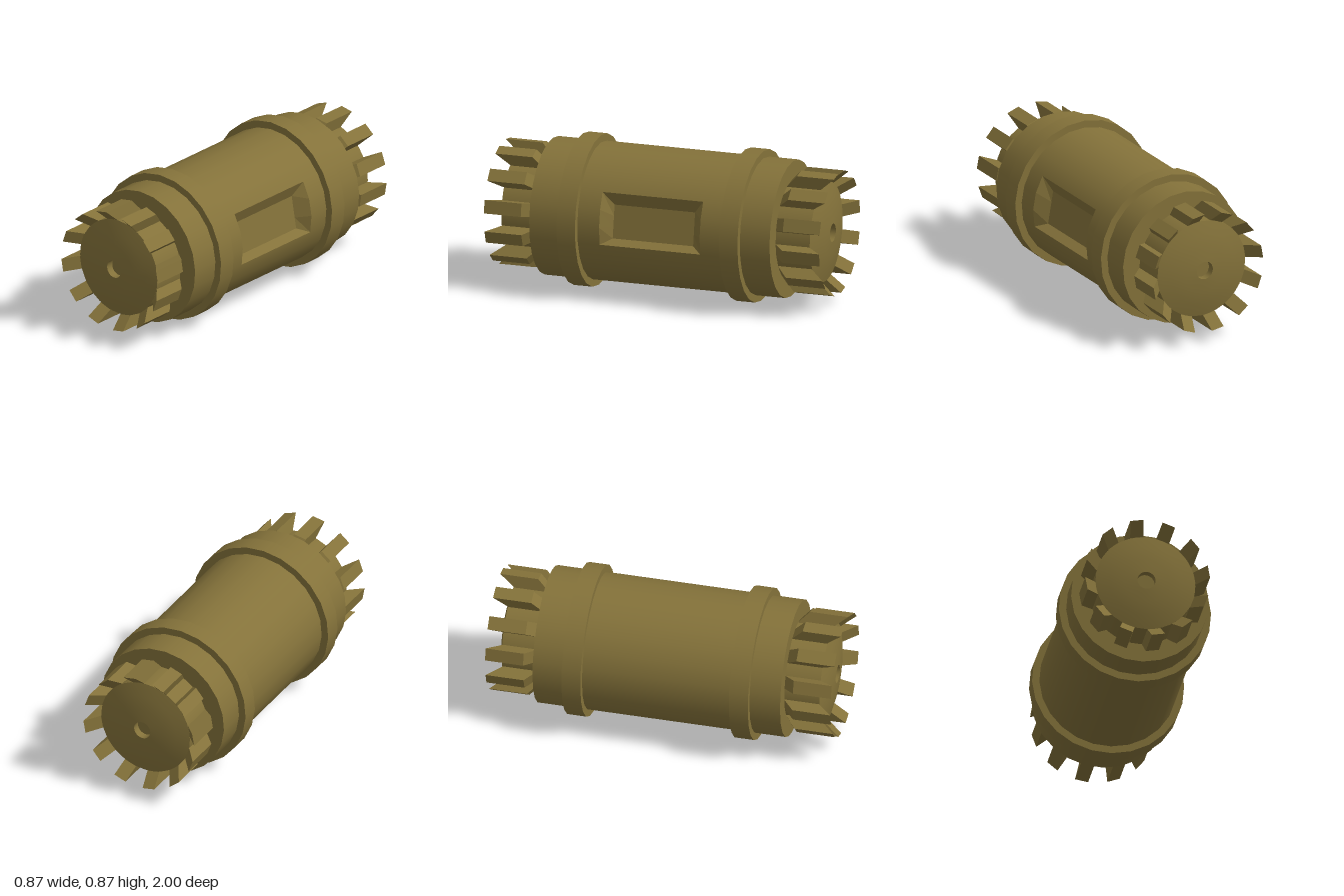
import * as THREE from 'three';

const RAD = Math.PI / 180;
const OFFSET = 2.5; // turn of the 24-sided body, degrees
const BODY_R = 0.393;

export function createModel() {
  const root = new THREE.Group();
  const model = new THREE.Group();
  model.name = 'canister';
  model.position.y = 0.436;
  root.add(model);
  const material = new THREE.MeshStandardMaterial({ color: 0x84723a });

  const add = (parent, name, geometry) => {
    const mesh = new THREE.Mesh(geometry, material);
    mesh.name = name;
    parent.add(mesh);
    return mesh;
  };
  // cylinder along z, starting at an angle measured from +x towards +y
  const drum = (r, z0, z1, start = OFFSET, sides = 24, open = false) =>
    new THREE.CylinderGeometry(r, r, z1 - z0, sides, 1, open, (start + 90) * RAD, sides * 15 * RAD)
      .rotateX(Math.PI / 2).translate(0, 0, (z0 + z1) / 2);
  const lathe = (pts) => new THREE.LatheGeometry(
    pts.map(([r, z]) => new THREE.Vector2(r, z)), 36).rotateX(Math.PI / 2);

  // body: two closed end sections and a middle shell left open at the pocket
  add(model, 'bodyFront', drum(BODY_R, 0.3, 0.717));
  add(model, 'bodyBack', drum(BODY_R, -0.717, -0.3));
  add(model, 'bodyMiddle', drum(BODY_R, -0.3, 0.3, OFFSET + 30, 21, true));

  // raised bands
  add(model, 'frontBand', drum(0.435, 0.43, 0.54));
  add(model, 'backBand', drum(0.435, -0.54, -0.43));

  add(model, 'sidePocket', pocketGeometry());

  // identical crowns at both ends
  const finShape = new THREE.Shape([
    [0.2, 0.7], [0.27, 0.7], [0.285, 0.717], [0.355, 0.78], [0.355, 1], [0.285, 0.92], [0.2, 0.9],
  ].map(([r, z]) => new THREE.Vector2(r, z)));
  const finGeometry = new THREE.ExtrudeGeometry(finShape, { depth: 0.076, bevelEnabled: false })
    .translate(0, 0, -0.038).rotateX(Math.PI / 2);

  for (const end of ['front', 'back']) {
    const crown = new THREE.Group();
    crown.name = end + 'Crown';
    if (end === 'back') crown.rotation.y = Math.PI;
    model.add(crown);
    add(crown, 'core', lathe([[0.285, 0.7], [0.285, 0.92]]));
    add(crown, 'dome', lathe([[0.285, 0.92], [0.21, 0.94], [0.13, 0.954], [0.052, 0.96]]));
    add(crown, 'holeWall', lathe([[0.052, 0.96], [0.052, 0.915]]));
    add(crown, 'holeFloor', lathe([[0.052, 0.915], [0, 0.915]]));
    for (let i = 0; i < 12; i++) {
      add(crown, 'fin', finGeometry).rotation.z = (10 + i * 30) * RAD;
    }
  }
  return root;
}

// recess spanning three body facets, with sloped walls and a flat floor
function pocketGeometry() {
  const lip = [], floor = [];
  for (let i = 0; i < 4; i++) {
    const a = (OFFSET - 15 + i * 15) * RAD;
    lip.push([BODY_R * Math.cos(a), BODY_R * Math.sin(a)]);
    floor.push([0.33 - 0.033 * i / 3, -0.057 + 0.19 * i / 3]);
  }
  const rows = [[lip, -0.3], [floor, -0.24], [floor, 0.24], [lip, 0.3]];
  const positions = rows.flatMap(([pts, z]) => pts.flatMap(([x, y]) => [x, y, z]));
  const index = [];
  const quad = (a, b, c, d) => index.push(a, b, c, a, c, d);
  for (let r = 0; r < 3; r++) {
    for (let i = 0; i < 3; i++) {
      const k = r * 4 + i;
      quad(k, k + 1, k + 5, k + 4);
    }
  }
  quad(0, 4, 8, 12);  // lower wall
  quad(7, 3, 15, 11); // upper wall
  const indexed = new THREE.BufferGeometry();
  indexed.setAttribute('position', new THREE.Float32BufferAttribute(positions, 3));
  indexed.setIndex(index);
  const geometry = indexed.toNonIndexed();
  geometry.computeVertexNormals();
  return geometry;
}
